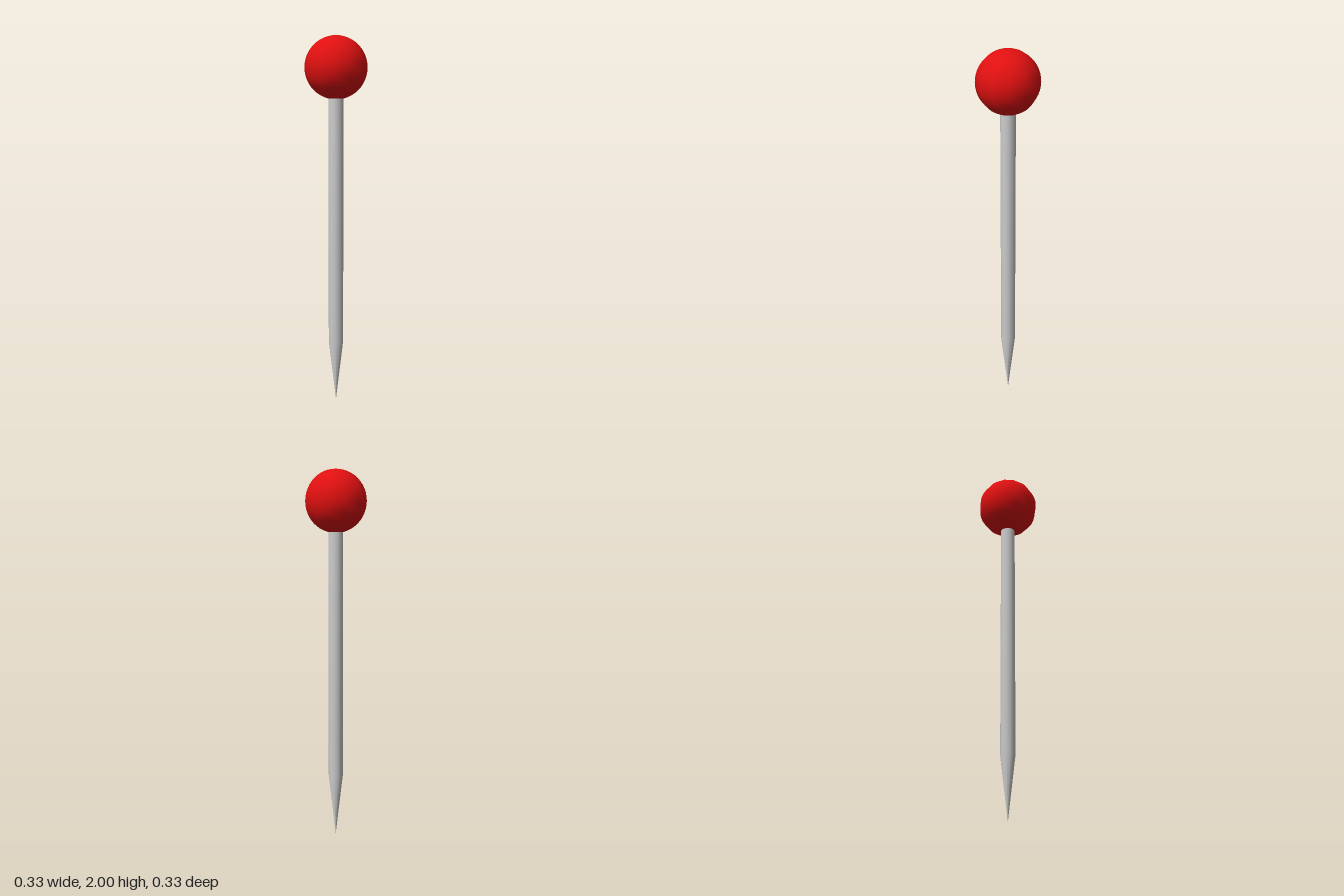
import * as THREE from 'three';

export function createModel() {
  const group = new THREE.Group();

  const steel = new THREE.MeshStandardMaterial({ color: 0xcccccc });
  const red = new THREE.MeshStandardMaterial({ color: 0xe01010 });

  // Needle: sharp point, straight shaft, capped just inside the head
  const profile = [[0, 0], [0.04, 0.34], [0.04, 1.72], [0, 1.72]]
    .map(([r, y]) => new THREE.Vector2(r, y));
  const needle = new THREE.Mesh(new THREE.LatheGeometry(profile, 12), steel);
  needle.name = 'needle';

  // Round head, twelve-sided around the vertical axis
  const radius = 0.166;
  const head = new THREE.Mesh(new THREE.SphereGeometry(radius, 12, 24), red);
  head.name = 'head';
  head.position.y = 2 - radius;

  group.add(needle, head);
  return group;
}
